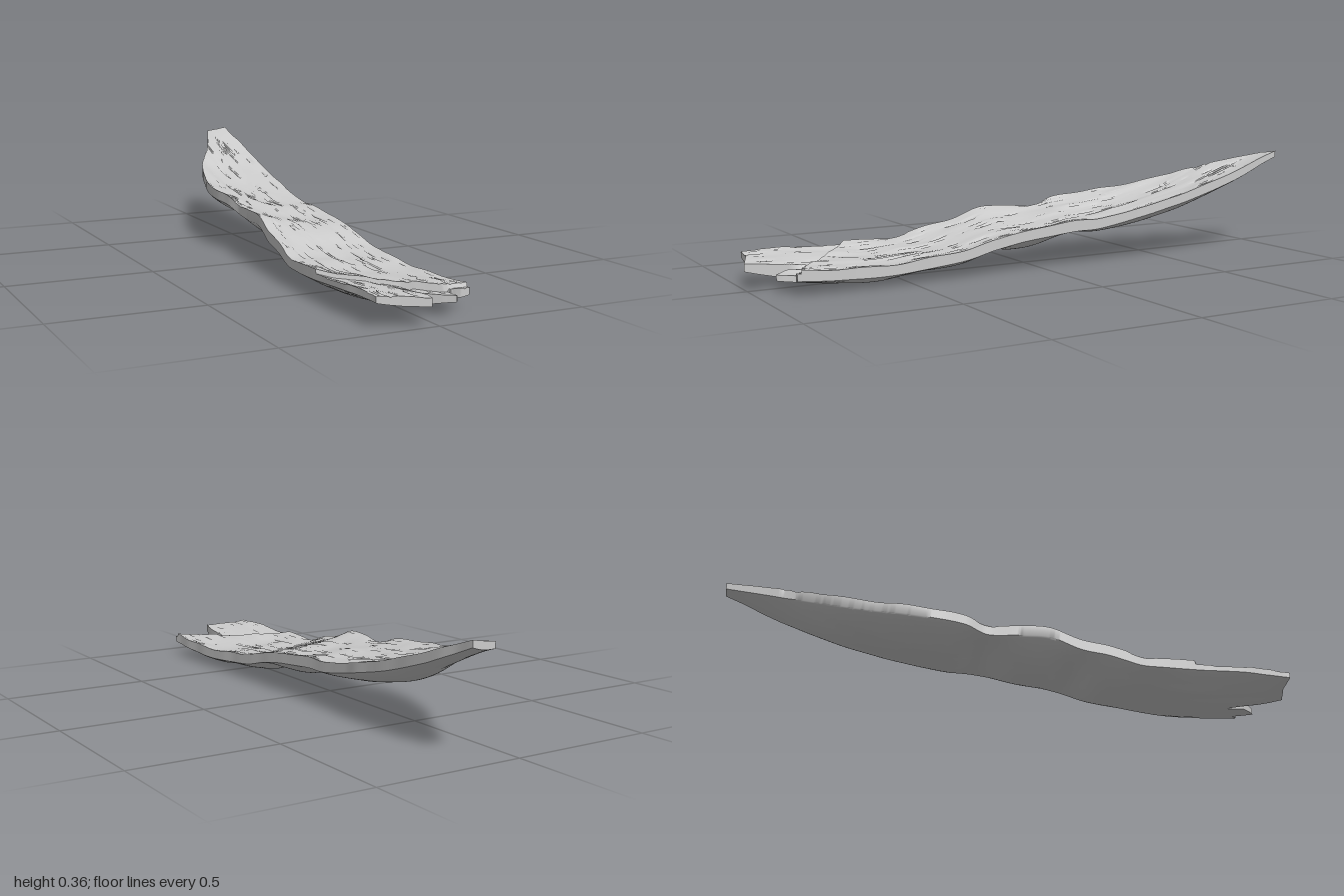
import * as THREE from 'three';
import { toCreasedNormals } from 'three/addons/utils/BufferGeometryUtils.js';

// Stations along the length: z, left x (min), right x (max), top y at min x, top y at max x, belly y
const STATIONS = [
  [-1.0, 0.10, 0.18, 0.352, 0.364, 0.333],
  [-0.8, 0.02, 0.188, 0.313, 0.30, 0.248],
  [-0.6, -0.08, 0.184, 0.255, 0.24, 0.163],
  [-0.4, -0.135, 0.177, 0.225, 0.195, 0.115],
  [-0.3, -0.145, 0.172, 0.215, 0.175, 0.105],
  [-0.2, -0.143, 0.166, 0.207, 0.16, 0.108],
  [-0.12, -0.13, 0.164, 0.183, 0.158, 0.125],
  [0.0, -0.15, 0.164, 0.185, 0.148, 0.072],
  [0.1, -0.156, 0.164, 0.184, 0.138, 0.064],
  [0.2, -0.165, 0.164, 0.147, 0.12, 0.079],
  [0.3, -0.172, 0.163, 0.13, 0.097, 0.033],
  [0.4, -0.183, 0.164, 0.103, 0.085, 0.02],
  [0.46, -0.186, 0.166, 0.10, 0.08, 0.024],
  [0.6, -0.19, 0.17, 0.102, 0.072, 0.002],
  [0.8, -0.19, 0.17, 0.112, 0.078, 0.02],
  [1.0, -0.182, 0.166, 0.112, 0.094, 0.058],
];

// Splintered front end: position across the width, end z
const END = [[0, 0.96], [0.2, 0.965], [0.46, 1.0], [0.49, 0.95], [0.53, 0.8], [0.56, 0.8], [0.6, 0.87],
  [0.7, 0.91], [0.8, 0.94], [0.84, 0.88], [0.87, 0.865], [0.92, 0.89], [1, 0.895]];

// Edge of the upper layer, running diagonally across the front
const LAYER = [[0, 0.6], [0.5, 0.755], [0.82, 0.855], [1, 0.88]];

function linear(table, u) {
  let k = 0;
  while (k < table.length - 2 && u > table[k + 1][0]) k++;
  const [a, b] = [table[k], table[k + 1]];
  return THREE.MathUtils.mapLinear(u, a[0], b[0], a[1], b[1]);
}

// Smooth interpolation of all station columns
function station(z) {
  let k = 0;
  while (k < STATIONS.length - 2 && z > STATIONS[k + 1][0]) k++;
  const at = i => STATIONS[THREE.MathUtils.clamp(i, 0, STATIONS.length - 1)];
  const [p, a, b, n] = [at(k - 1), at(k), at(k + 1), at(k + 2)];
  const h = b[0] - a[0], t = (z - a[0]) / h, t2 = t * t, t3 = t2 * t;
  return a.map((v, c) => {
    const ma = (b[c] - p[c]) / (b[0] - p[0]) * h, mb = (n[c] - v) / (n[0] - a[0]) * h;
    return (2 * t3 - 3 * t2 + 1) * v + (t3 - 2 * t2 + t) * ma + (3 * t2 - 2 * t3) * b[c] + (t3 - t2) * mb;
  });
}

// Seeded value noise, 0..1
function hash(i, j) {
  const s = Math.sin(i * 127.1 + j * 311.7) * 43758.5453;
  return s - Math.floor(s);
}
function noise(x, y) {
  const i = Math.floor(x), j = Math.floor(y);
  const f = THREE.MathUtils.smoothstep(x - i, 0, 1), g = THREE.MathUtils.smoothstep(y - j, 0, 1);
  const low = THREE.MathUtils.lerp(hash(i, j), hash(i + 1, j), f);
  const high = THREE.MathUtils.lerp(hash(i, j + 1), hash(i + 1, j + 1), f);
  return THREE.MathUtils.lerp(low, high, g);
}

function barkGeometry() {
  const COLS = 72, BACK_ROWS = 190, FRONT_ROWS = 34, N = COLS + 1;
  const rows = BACK_ROWS + FRONT_ROWS + 2, ring = 2 * N;
  const positions = [], index = [];

  for (let j = 0; j < rows; j++) {
    const upper = j <= BACK_ROWS;
    const top = [], bottom = [];
    for (let i = 0; i < N; i++) {
      const u = i / COLS, edge = linear(LAYER, u);
      const z = upper
        ? THREE.MathUtils.lerp(-1, edge, j / BACK_ROWS)
        : THREE.MathUtils.lerp(edge + 0.004, linear(END, u), (j - BACK_ROWS - 1) / FRONT_ROWS);
      const [, xl, xr, yl, yr, belly] = station(z);
      const x = THREE.MathUtils.lerp(xl, xr, u) + (noise(z * 14, u < 0.5 ? 3 : 9) - 0.5) * 0.006;
      const line = THREE.MathUtils.lerp(yl, yr, u);
      const rim = z < -0.8 ? THREE.MathUtils.mapLinear(z, -1, -0.8, 0.022, 0.035) : 0.035;
      const depth = Math.max(0, (yl + yr) / 2 - rim - belly);
      const bow = Math.pow(Math.sin(Math.PI * u), 0.8);

      // Upper surface: shallow hollow, wood grain and the lowered front layer
      const fade = THREE.MathUtils.smoothstep(z, -1, -0.8);
      const pit = THREE.MathUtils.smoothstep(noise(x * 130, z * 13), 0.72, 0.9) * 0.004;
      const ripple = (noise(x * 26 + 7, z * 9) - 0.5) * 0.008;
      let drop = 0;
      if (!upper) drop = 0.014 + (u > 0.54 && u < 0.85 ? 0.01 : 0);
      top.push(x, line - depth * 0.28 * bow - drop + fade * (ripple - pit), z);

      // Underside: rounded belly with faint lengthwise waves
      const wave = (noise(x * 30, z * 5 + 40) - 0.5) * 0.004 * bow;
      bottom.unshift([x, Math.max(0, line - rim - depth * bow + wave), z]);
    }
    positions.push(...top, ...bottom.flat());
  }

  const quad = (a, b, c, d) => index.push(a, b, c, a, c, d);
  for (let j = 0; j < rows - 1; j++) {
    for (let i = 0; i < ring; i++) {
      const a = j * ring + i, b = j * ring + (i + 1) % ring;
      quad(a, a + ring, b + ring, b);
    }
  }
  // Broken ends
  const last = (rows - 1) * ring;
  for (let i = 0; i < COLS; i++) {
    const under = ring - 1 - i;
    quad(i, i + 1, under - 1, under);
    quad(last + under, last + under - 1, last + i + 1, last + i);
  }

  const geometry = new THREE.BufferGeometry();
  geometry.setAttribute('position', new THREE.Float32BufferAttribute(positions, 3));
  geometry.setIndex(index);
  return toCreasedNormals(geometry, 0.7);
}

export function createModel() {
  const group = new THREE.Group();
  group.name = 'splinteredBark';
  const bark = new THREE.Mesh(barkGeometry(), new THREE.MeshStandardMaterial({ color: 0xcccccc }));
  bark.name = 'barkStrip';
  group.add(bark);
  return group;
}
